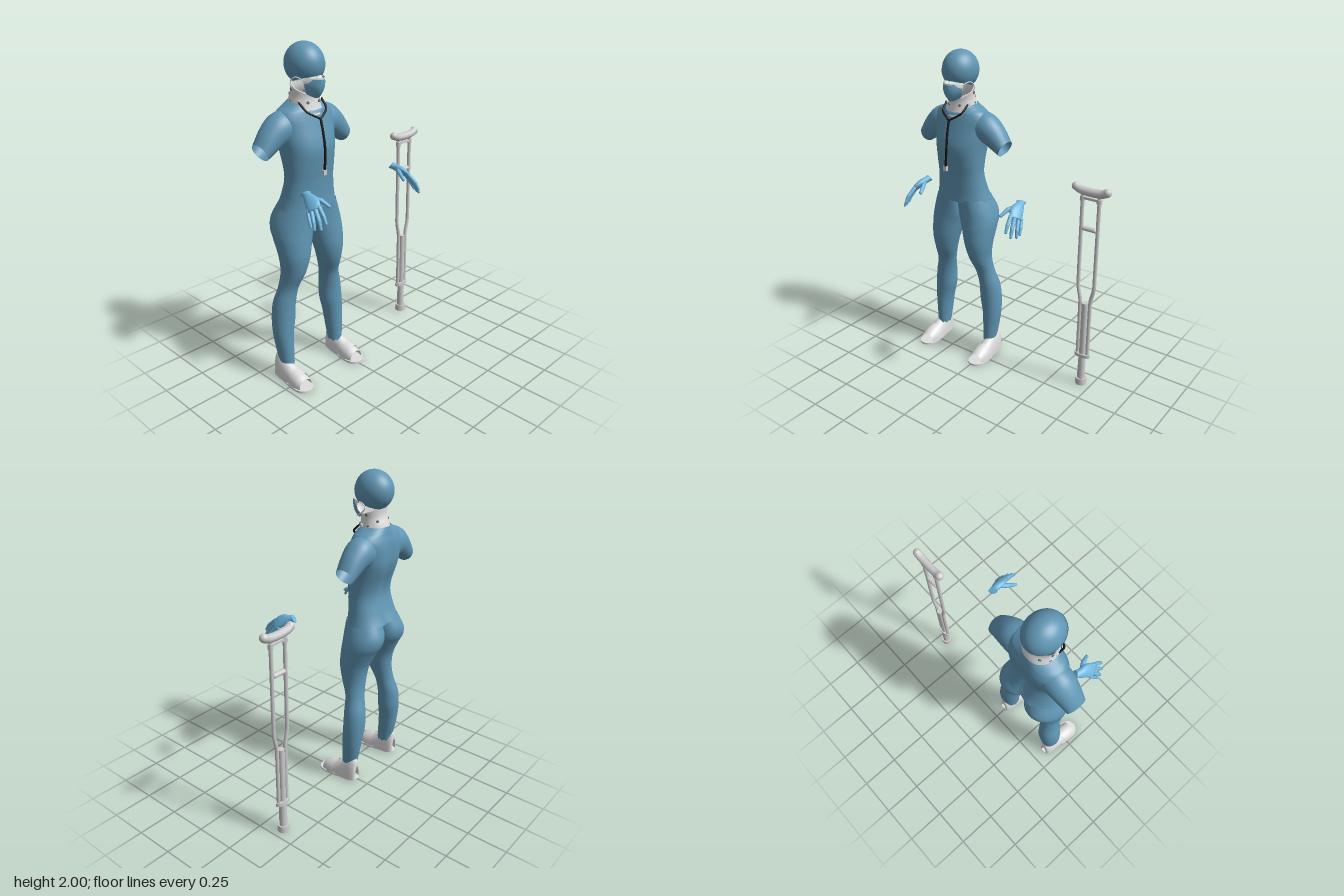
import * as THREE from 'three';

const mat = (name, color) => {
  const m = new THREE.MeshStandardMaterial({ color, side: THREE.DoubleSide });
  m.name = name;
  return m;
};
const V = (x, y, z) => new THREE.Vector3(x, y, z);

// Closed-ring loft: key rows are smoothed, then place(row, angle) gives each point
function loft(rows, place, segs = 40, steps = 5, capped = false) {
  const pos = [], idx = [], n = (rows.length - 1) * steps + 1;
  for (let i = 0; i < n; i++) {
    const k = Math.min(Math.floor(i / steps), rows.length - 2), t = i / steps - k;
    const r = rows[k].map((b, c) => {
      const d = rows[k + 1][c], a = rows[Math.max(k - 1, 0)][c], e = rows[Math.min(k + 2, rows.length - 1)][c];
      return b + 0.5 * t * (d - a + t * (2 * a - 5 * b + 4 * d - e + t * (3 * (b - d) + e - a)));
    });
    for (let j = 0; j < segs; j++) pos.push(...place(r, j / segs * Math.PI * 2));
  }
  for (let i = 0; i < n - 1; i++) for (let j = 0; j < segs; j++) {
    const a = i * segs + j, b = i * segs + (j + 1) % segs;
    idx.push(a, a + segs, b, b, a + segs, b + segs);
  }
  if (capped) for (const o of [0, (n - 1) * segs]) for (let j = 1; j < segs - 1; j++) {
    if (o) idx.push(o, o + j + 1, o + j); else idx.push(o, o + j, o + j + 1);
  }
  const g = new THREE.BufferGeometry();
  g.setAttribute('position', new THREE.Float32BufferAttribute(pos, 3));
  g.setIndex(idx);
  g.computeVertexNormals();
  return g;
}

export function createModel() {
  const scrubs = mat('scrub blue', 0x6096b4), glove = mat('glove blue', 0x6fb6de);
  const maskBlue = mat('mask blue', 0x66a2c2), pale = mat('pale grey', 0xdedede);
  const metal = mat('metal grey', 0xcccccc), white = mat('white', 0xf4f4f4);
  const black = mat('black', 0x151515), dark = mat('dark grey', 0x777777);

  const root = new THREE.Group(), body = new THREE.Group();
  body.name = 'clothedFigure';
  body.position.x = -0.2;
  root.add(body);
  const add = (parent, name, geo, m, x = 0, y = 0, z = 0) => {
    const o = new THREE.Mesh(geo, m);
    o.name = name;
    o.position.set(x, y, z);
    parent.add(o);
    return o;
  };
  const tube = (pts, r, segs = 32) => new THREE.TubeGeometry(new THREE.CatmullRomCurve3(pts), segs, r, 10);

  // Shirt: y, half width, front z, back z, front neckline dip
  const torso = [[1.085, .187, .022, -.238, 0], [1.15, .17, .02, -.208, 0], [1.25, .155, .025, -.18, 0],
    [1.33, .158, .035, -.188, 0], [1.42, .165, .045, -.218, 0], [1.48, .175, .036, -.23, 0], [1.55, .183, .015, -.23, 0],
    [1.6, .187, 0, -.222, 0], [1.64, .165, -.01, -.208, .005], [1.662, .13, -.01, -.2, .02], [1.685, .092, 0, -.19, .06]];
  add(body, 'shirt', loft(torso, ([y, w, f, b, dip], t) => {
    const c = Math.cos(t), s = Math.sin(t), x = w * Math.sign(c) * Math.abs(c) ** 0.9;
    const groove = s < 0 ? .016 * Math.exp(-((x / .04) ** 2)) * Math.min(1, Math.max(0, (1.68 - y) * 8)) : 0;
    return [x, y - dip * Math.max(0, s) ** 2, (f + b) / 2 + (f - b) / 2 * Math.sign(s) * Math.abs(s) ** 0.9 + groove];
  }, 56), scrubs);

  // Sleeve: upper x, y, lower x, y, half depth
  const sleeve = [[.1, 1.645, .1, 1.44, .085], [.15, 1.648, .14, 1.45, .088], [.215, 1.625, .175, 1.453, .085],
    [.28, 1.562, .225, 1.425, .073], [.327, 1.49, .28, 1.395, .062]];
  // Trouser leg: y, inner x, outer x, front z, back z, squareness toward the middle seam
  const leg = [[.1, .157, .24, -.05, -.147, 1], [.2, .15, .252, -.052, -.17, 1], [.3, .14, .262, -.055, -.185, 1],
    [.4, .12, .262, -.055, -.195, 1], [.5, .115, .25, -.053, -.19, 1], [.6, .1, .222, -.042, -.165, 1],
    [.7, .07, .212, 0, -.157, 1], [.8, .04, .222, .02, -.168, 1], [.9, .012, .23, .017, -.212, .9],
    [.96, 0, .228, .012, -.245, .6], [1.02, 0, .213, .01, -.25, .4], [1.1, 0, .18, .01, -.215, .35]];
  // Open-toed shoe: z, half width, height
  const shoe = [[-.172, .018, .1], [-.165, .034, .145], [-.13, .045, .155], [-.06, .048, .11],
    [0, .052, .08], [.045, .054, .07], [.08, .047, .054]];
  const arch = ([z, w, h], t) => [w * Math.cos(t), .01 + h * Math.max(0, Math.sin(t)) ** 0.8, z];
  const soleShape = new THREE.Shape();
  soleShape.moveTo(-.042, .1);
  soleShape.bezierCurveTo(-.042, .18, .042, .18, .042, .1);
  soleShape.bezierCurveTo(.045, .04, .06, .03, .06, -.05);
  soleShape.bezierCurveTo(.06, -.145, -.06, -.145, -.06, -.05);
  soleShape.bezierCurveTo(-.06, .03, -.045, .04, -.042, .1);
  const sole = new THREE.ExtrudeGeometry(soleShape, { depth: .013, bevelEnabled: false, curveSegments: 16 }).rotateX(-Math.PI / 2);

  for (const s of [-1, 1]) {
    const side = s > 0 ? 'left' : 'right';
    add(body, side + 'Sleeve', loft(sleeve, ([ux, uy, lx, ly, d], t) => {
      const k = (1 + Math.cos(t)) / 2;
      return [s * (lx + (ux - lx) * k), ly + (uy - ly) * k, -.118 + d * Math.sin(t)];
    }, 32), scrubs);
    add(body, side + 'TrouserLeg', loft(leg, ([y, i, o, f, b, e], t) => {
      const c = Math.cos(t), n = Math.sin(t), p = c < 0 ? (n < 0 ? (1 + e) / 2 : e) : 1;
      const hem = y < .11 ? .007 * Math.sin(9 * t) : 0;
      return [s * ((i + o) / 2 + (o - i) / 2 * c), y + hem, (f + b) / 2 + (f - b) / 2 * Math.sign(n) * Math.abs(n) ** p];
    }, 48), scrubs);
    const foot = new THREE.Group();
    foot.name = side + 'Shoe';
    foot.position.x = s * .212;
    body.add(foot);
    add(foot, 'sole', sole, pale);
    add(foot, 'upper', loft(shoe, arch, 32), pale);
    add(foot, 'strap', loft([[-.01, .056, .088], [.015, .058, .083], [.04, .058, .076]], arch, 32, 3), pale);

    // Mask ear loop and neck cord branch
    add(body, side + 'EarLoop', tube([V(s * .066, 1.808, -.015), V(s * .09, 1.825, -.06), V(s * .094, 1.8, -.095),
      V(s * .092, 1.765, -.07), V(s * .062, 1.735, -.015)], .0035), white);
    add(body, side + 'CordBranch', tube([V(s * .082, 1.69, -.05), V(s * .07, 1.645, .0), V(s * .03, 1.618, .022), V(0, 1.6, .03)], .006), black);
  }

  // Neck brace: front y, back y, half width, front z, back z
  add(body, 'neckBrace', loft([[1.615, 1.66, .102, .0, -.195], [1.65, 1.7, .092, -.012, -.183],
    [1.7, 1.745, .083, -.022, -.165], [1.74, 1.79, .086, -.02, -.163]], ([yf, yb, w, f, b], t) => {
    const k = (1 + Math.sin(t)) / 2;
    return [w * Math.cos(t), yb + (yf - yb) * k, b + (f - b) * k];
  }), pale);
  for (const [a, y, r] of [[.45, 1.685, .015], [-.1, 1.755, .008], [-.25, 1.69, .008], [1.1, 1.685, .008], [-.9, 1.72, .008]])
    for (const s of [-1, 1]) {
      const d = add(body, 'braceVent', new THREE.CylinderGeometry(r, r, .006, 16).rotateX(Math.PI / 2), r > .01 ? white : dark,
        s * .088 * Math.cos(a), y, -.094 + .08 * Math.sin(a));
      d.rotation.y = Math.atan2(s * Math.cos(a), Math.sin(a));
    }

  // Surgical cap, open and tilted at the base, with a front band
  const cap = new THREE.Group();
  cap.name = 'surgicalCap';
  cap.position.set(0, 1.885, -.09);
  cap.rotation.x = -.3;
  body.add(cap);
  add(cap, 'crown', new THREE.SphereGeometry(1, 48, 32, 0, Math.PI * 2, 0, 2.33).scale(.104, .116, .12), scrubs);
  add(cap, 'frontBand', new THREE.SphereGeometry(1, 32, 12, .3, Math.PI - .6, 1.72, .62).scale(.106, .118, .123), scrubs);

  // Face mask: curved sheet with a white lining
  const maskSheet = (grow, back) => {
    const g = new THREE.PlaneGeometry(2, 1, 24, 12), p = g.attributes.position;
    for (let i = 0; i < p.count; i++) {
      const u = p.getX(i), v = .5 - p.getY(i);
      const w = (.066 + .02 * v - .044 * v * v) * grow;
      p.setXYZ(i, u * w, 1.815 + (grow - 1) * .2 - .105 * v + .022 * v * u * u, .056 - .008 * v - .036 * v ** 3 - .078 * u * u * (1 - .35 * v) - back);
    }
    g.computeVertexNormals();
    return g;
  };
  add(body, 'faceMask', maskSheet(1, 0), maskBlue);
  add(body, 'maskLining', maskSheet(1.04, .004), white);

  // Hanging cord and end piece
  add(body, 'neckCord', tube([V(0, 1.605, .03), V(0, 1.53, .048), V(0, 1.43, .062), V(-.008, 1.32, .064)], .007), black);
  add(body, 'cordEnd', new THREE.BoxGeometry(.024, .03, .016), metal, -.01, 1.308, .064);

  // Gloves: flattened palm plus tapered fingers
  const joint = (a, b, r0, r1) => {
    const d = b.clone().sub(a), g = new THREE.CylinderGeometry(r1, r0, d.length(), 12, 1, true);
    g.translate(0, d.length() / 2, 0);
    g.applyQuaternion(new THREE.Quaternion().setFromUnitVectors(V(0, 1, 0), d.normalize()));
    return g.translate(a.x, a.y, a.z);
  };
  const fingers = [
    [[.35, 1.205, .105], [.318, 1.195, .15], [.302, 1.168, .195], .015],
    [[.364, 1.178, .185], [.373, 1.14, .228], [.377, 1.105, .25], .0125],
    [[.38, 1.168, .17], [.394, 1.118, .215], [.4, 1.075, .235], .0125],
    [[.392, 1.158, .152], [.411, 1.105, .19], [.418, 1.07, .204], .012],
    [[.4, 1.152, .132], [.415, 1.11, .16], [.421, 1.078, .178], .0105]];
  for (const s of [-1, 1]) {
    const hand = new THREE.Group();
    hand.name = s > 0 ? 'leftGlove' : 'rightGlove';
    root.add(hand);
    // centre x, y, z, half width, half thickness
    const palm = [[.345, 1.217, .055, .029, .021], [.35, 1.213, .075, .026, .02], [.358, 1.202, .11, .038, .021],
      [.372, 1.183, .143, .042, .018], [.387, 1.16, .168, .036, .013]];
    const across = V(-.55, .45, .7).normalize(), thick = across.clone().cross(V(.3, -.5, .8)).normalize();
    add(hand, 'palm', loft(palm, ([x, y, z, w, h], t) => {
      const p = V(x, y, z).addScaledVector(across, w * Math.cos(t)).addScaledVector(thick, h * Math.sin(t));
      return [s * p.x, p.y, p.z];
    }, 28, 4, true), glove);
    for (const [a, b, c, r] of fingers) {
      const P = [a, b, c].map(q => V(s * q[0], q[1], q[2]));
      add(hand, 'finger', joint(P[0], P[1], r, r * .9), glove);
      add(hand, 'finger', joint(P[1], P[2], r * .9, r * .65), glove);
      P.forEach((q, i) => add(hand, 'knuckle', new THREE.SphereGeometry(r * [1, .9, .65][i], 12, 8), glove, q.x, q.y, q.z));
    }
  }

  // Crutch
  const crutch = new THREE.Group();
  crutch.name = 'crutch';
  crutch.position.set(.687, 0, -.138);
  root.add(crutch);
  const rod = (name, r0, r1, y0, y1, x = 0) =>
    add(crutch, name, new THREE.CylinderGeometry(r1, r0, y1 - y0, 24), metal, x, (y0 + y1) / 2, 0);
  add(crutch, 'underarmPad', tube([V(-.1, 1.312, 0), V(-.07, 1.299, 0), V(0, 1.293, 0), V(.07, 1.299, 0), V(.1, 1.312, 0)], .025, 40), metal);
  for (const s of [-1, 1]) {
    add(crutch, 'padEnd', new THREE.SphereGeometry(.025, 20, 14), metal, s * .1, 1.312, 0);
    add(crutch, 'sideTube', tube([V(s * .054, 1.28, 0), V(s * .054, 1.0, 0), V(s * .054, .75, 0), V(s * .053, .69, 0),
      V(s * .035, .6, 0), V(s * .034, .55, 0), V(s * .034, .21, 0)], .0115, 80), metal);
    rod('tubeCollar', .016, .016, 1.235, 1.265, s * .054);
  }
  add(crutch, 'topBar', new THREE.BoxGeometry(.115, .014, .022), metal, 0, 1.255, 0);
  const grip = add(crutch, 'handGrip', new THREE.CapsuleGeometry(.014, .07, 6, 16).rotateZ(Math.PI / 2), metal, 0, 1.068, 0);
  grip.scale.z = 1.2;
  rod('gripBolt', .006, .006, 1.06, 1.072).geometry = new THREE.CylinderGeometry(.006, .006, .108, 10).rotateZ(Math.PI / 2);
  rod('centreTube', .02, .02, .2, .585);
  const clamp = rod('lowerCollar', .052, .052, .208, .23);
  clamp.scale.z = .5;
  rod('lowerShaft', .025, .022, .05, .21);
  rod('rubberFoot', .036, .034, .008, .05);
  return root;
}
